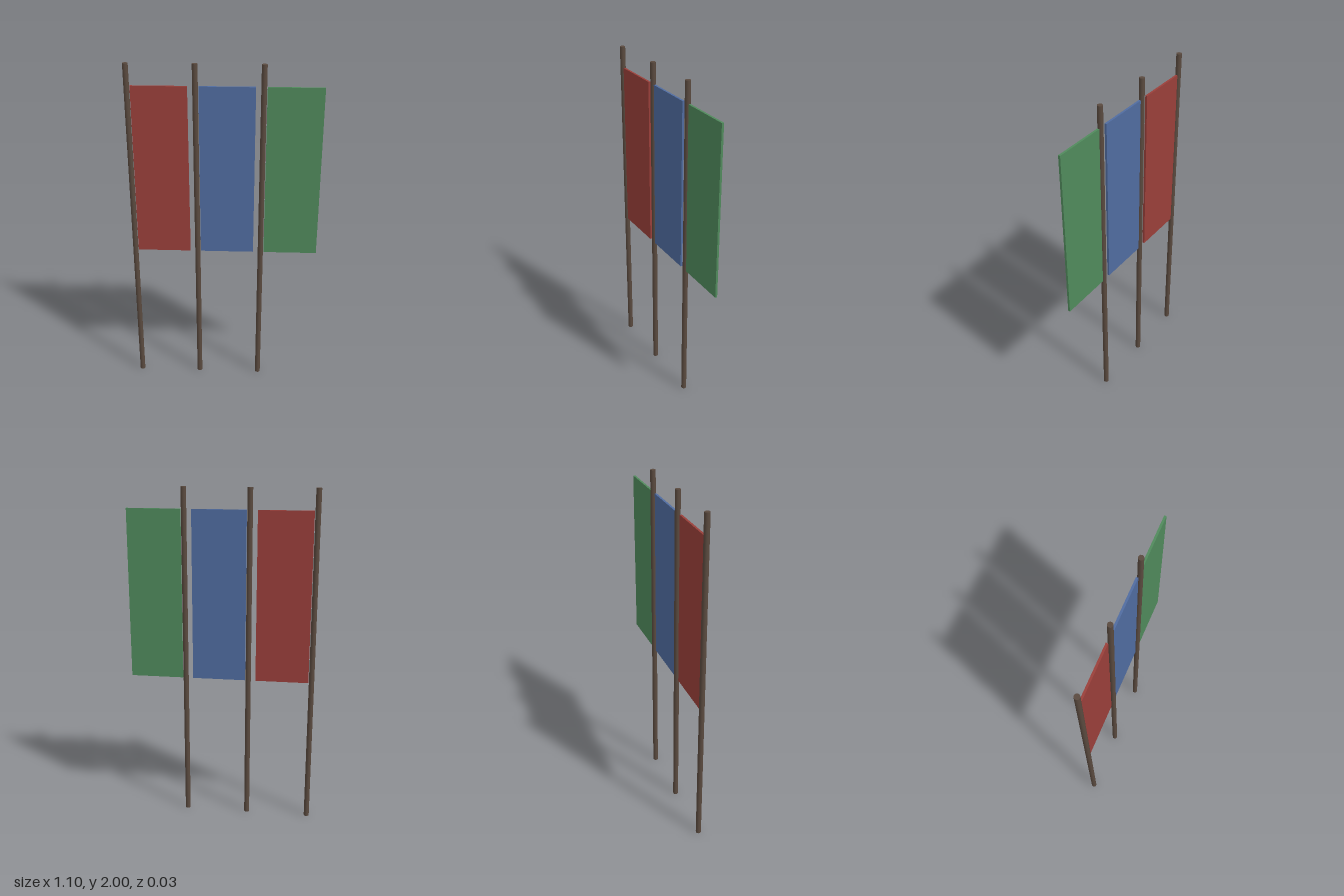
import * as THREE from 'three';

const POLE_RADIUS = 0.0156;
const SPACING = 0.375;
const FIRST_X = -0.533;

export function createModel() {
  const model = new THREE.Group();
  model.name = 'bannerRow';

  const poleGeometry = new THREE.CylinderGeometry(POLE_RADIUS, POLE_RADIUS, 2, 12);
  const bannerGeometry = new THREE.BoxGeometry(0.3125, 1, 0.0125);
  const poleMaterial = new THREE.MeshStandardMaterial({ color: 0x5a4a3f });

  // Three poles, each with a coloured banner on its left
  const banners = [['red', 0x9a3f3a], ['blue', 0x506ca0], ['green', 0x508a5c]];
  banners.forEach(([label, color], i) => {
    const unit = new THREE.Group();
    unit.name = `${label}BannerPole`;
    unit.position.x = FIRST_X + i * SPACING;

    const pole = new THREE.Mesh(poleGeometry, poleMaterial);
    pole.name = 'pole';
    pole.position.y = 1;

    const banner = new THREE.Mesh(bannerGeometry, new THREE.MeshStandardMaterial({ color }));
    banner.name = `${label}Banner`;
    banner.position.set(0.175, 1.377, 0);

    unit.add(pole, banner);
    model.add(unit);
  });

  return model;
}
